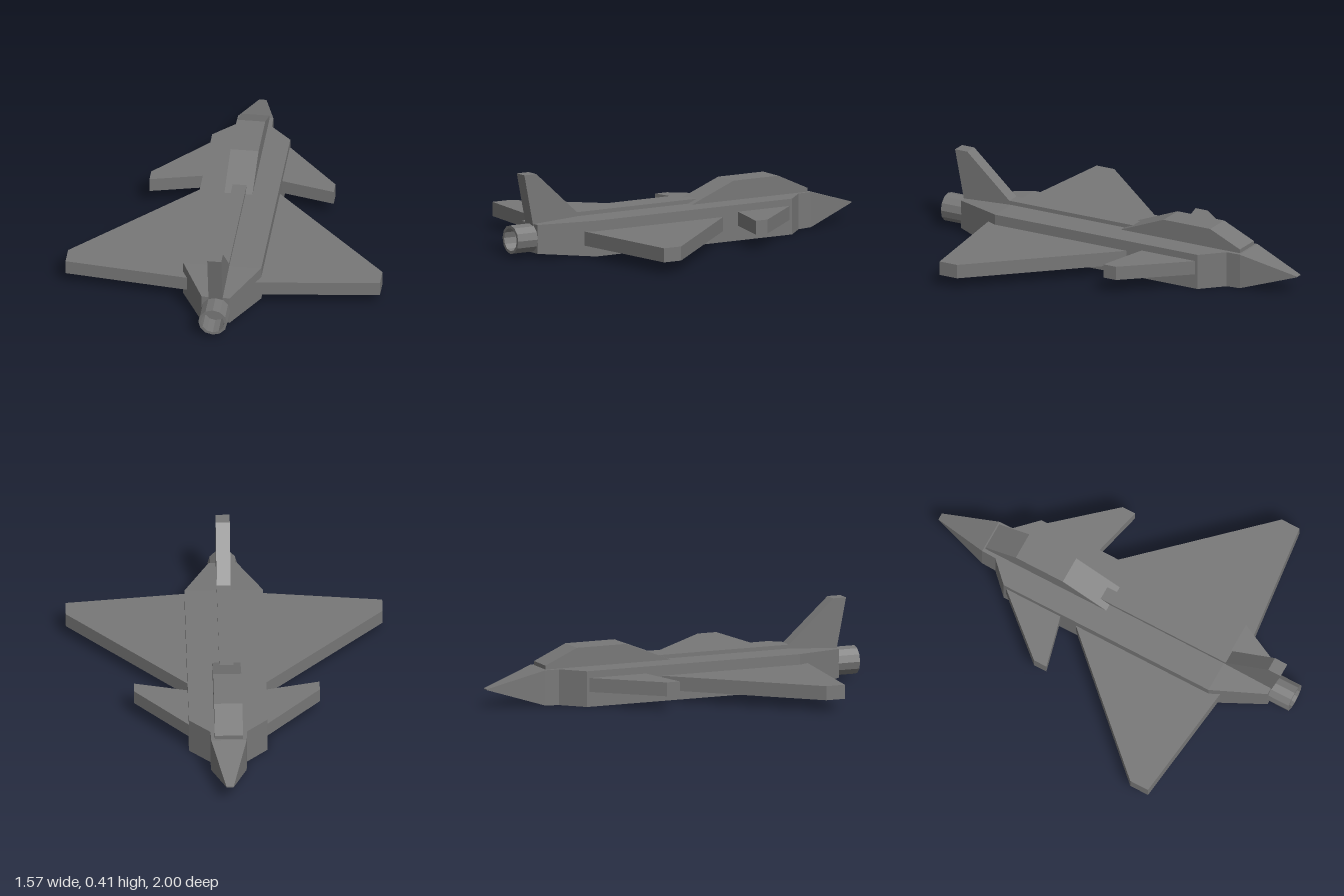
import * as THREE from 'three';

const grey = new THREE.MeshStandardMaterial({ color: 0x777777, flatShading: true, side: THREE.DoubleSide });
grey.name = 'grey';

function part(name, geometry) {
  const mesh = new THREE.Mesh(geometry, grey);
  mesh.name = name;
  return mesh;
}

function extrude(points, depth) {
  const shape = new THREE.Shape(points.map(([a, b]) => new THREE.Vector2(a, b)));
  return new THREE.ExtrudeGeometry(shape, { depth, bevelEnabled: false });
}

// Side profile of [z, y] points, given a width across x
function sideSlab(points, width) {
  return extrude(points, width).rotateY(-Math.PI / 2).translate(width / 2, 0, 0);
}

// Plan outline of [x, z] points, given a height range in y
function planSlab(points, bottom, top) {
  return extrude(points, top - bottom).rotateX(Math.PI / 2).translate(0, top, 0);
}

// Hull lofted through rectangular sections [z, halfWidth, bottom, top]
function loft(sections) {
  const positions = [];
  const index = [];
  for (const [z, w, b, t] of sections) positions.push(-w, b, z, w, b, z, w, t, z, -w, t, z);
  for (let s = 0; s < sections.length - 1; s++) {
    for (let i = 0; i < 4; i++) {
      const a = s * 4 + i, b = s * 4 + (i + 1) % 4;
      index.push(a, b, b + 4, a, b + 4, a + 4);
    }
  }
  const e = (sections.length - 1) * 4;
  index.push(0, 2, 1, 0, 3, 2, e, e + 1, e + 2, e, e + 2, e + 3);
  const geometry = new THREE.BufferGeometry();
  geometry.setAttribute('position', new THREE.Float32BufferAttribute(positions, 3));
  geometry.setIndex(index);
  const flat = geometry.toNonIndexed();
  flat.computeVertexNormals();
  return flat;
}

export function createModel() {
  const model = new THREE.Group();
  model.name = 'jet';

  // Fuselage from pointed nose to tapered tail
  model.add(part('fuselage', loft([
    [-1, 0.018, 0.09, 0.094],
    [-0.715, 0.088, 0.003, 0.18],
    [-0.64, 0.09, 0, 0.18],
    [-0.535, 0.195, 0, 0.18],
    [0.62, 0.195, 0, 0.18],
    [0.885, 0.07, 0.02, 0.165],
  ])));

  // Cockpit canopy
  model.add(part('canopy', sideSlab(
    [[-0.705, 0.15], [-0.705, 0.2], [-0.535, 0.277], [-0.27, 0.277], [-0.02, 0.178], [-0.02, 0.15]], 0.14)));

  // Spine running into the tail fin
  model.add(part('spineAndFin', sideSlab(
    [[-0.15, 0.15], [-0.15, 0.2], [0.63, 0.2], [0.87, 0.415], [0.94, 0.415], [0.885, 0.14]], 0.07)));

  // Main wings and canards, mirrored
  const wing = [[0.165, -0.16], [0.785, 0.5], [0.785, 0.6], [0.165, 0.673]];
  const canard = [[0.165, -0.555], [0.46, -0.22], [0.46, -0.15], [0.165, -0.223]];
  for (const [side, sign] of [['left', 1], ['right', -1]]) {
    const mirror = (points) => points.map(([x, z]) => [x * sign, z]);
    model.add(part(side + 'Wing', planSlab(mirror(wing), 0.056, 0.127)));
    model.add(part(side + 'Canard', planSlab(mirror(canard), 0.075, 0.145)));
  }

  // Hollow exhaust nozzle
  const ring = [[0.072, 0.87], [0.072, 1], [0.058, 1], [0.058, 0.89], [0, 0.89]]
    .map(([r, z]) => new THREE.Vector2(r, z));
  model.add(part('nozzle', new THREE.LatheGeometry(ring, 12).rotateX(Math.PI / 2).translate(0, 0.092, 0)));

  return model;
}
